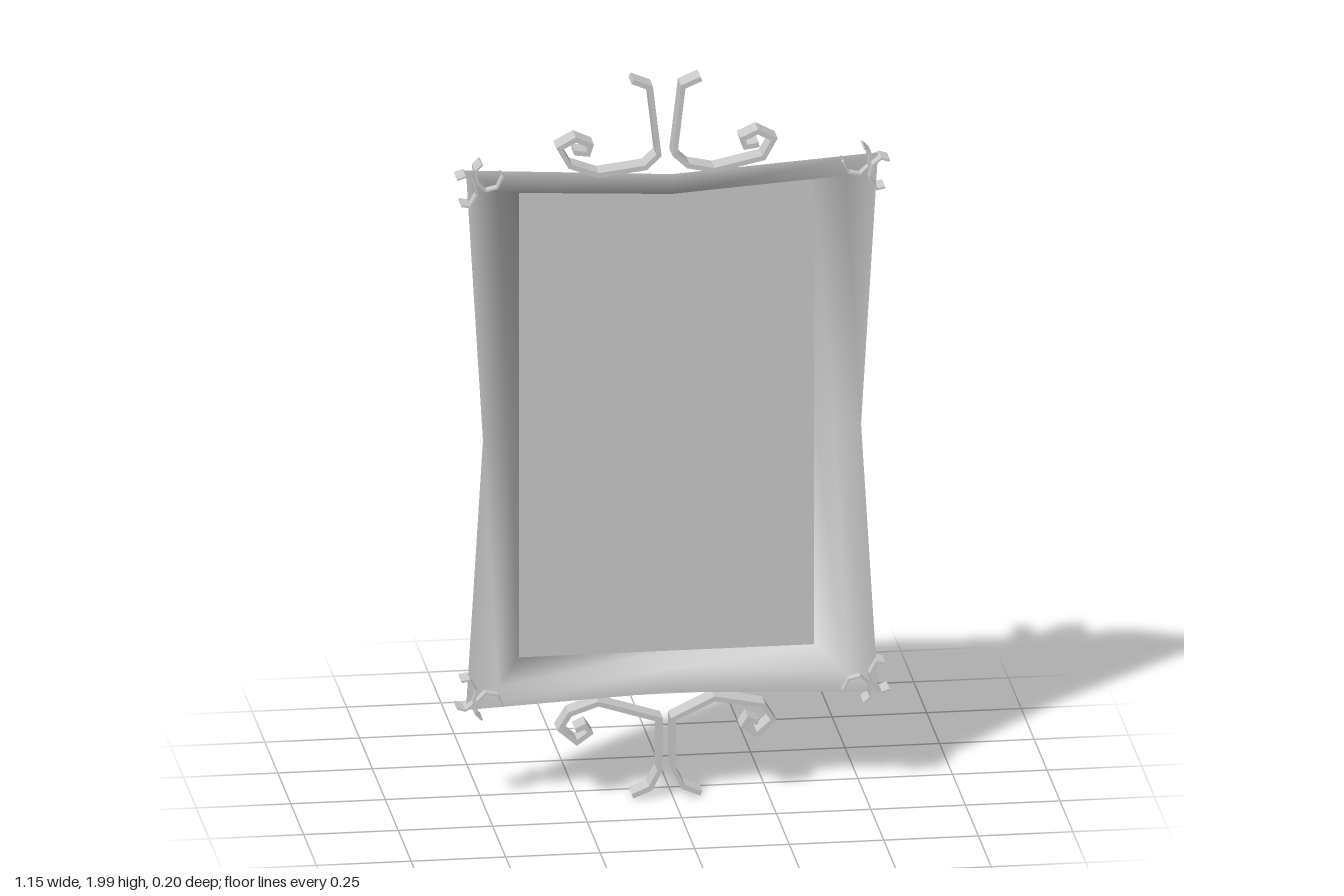
import * as THREE from 'three';

const grey = new THREE.MeshStandardMaterial({ color: 0xcccccc, side: THREE.DoubleSide });
const greyFlat = new THREE.MeshStandardMaterial({ color: 0xcccccc, side: THREE.DoubleSide, flatShading: true });

// Eight-point outline, counter-clockwise from the lower right corner
function ring(hx, waist, top, topMid, bottom, bottomMid, z) {
  return [
    [hx, bottom], [waist, 1.01], [hx, top], [0, topMid],
    [-hx, top], [-waist, 1.01], [-hx, bottom], [0, bottomMid],
  ].map(([x, y]) => [x, y, z]);
}

// Surface joining successive outlines
function loft(name, rings, material) {
  const n = rings[0].length, index = [];
  for (let r = 0; r < rings.length - 1; r++) {
    for (let i = 0; i < n; i++) {
      const j = (i + 1) % n, a = r * n, b = a + n;
      index.push(a + i, a + j, b + j, a + i, b + j, b + i);
    }
  }
  const geo = new THREE.BufferGeometry();
  geo.setAttribute('position', new THREE.Float32BufferAttribute(rings.flat(2), 3));
  geo.setIndex(index);
  geo.computeVertexNormals();
  const mesh = new THREE.Mesh(geo, material);
  mesh.name = name;
  return mesh;
}

// Bent metal strip: a mitred polyline thickened and extruded in z
function strip(name, pts, thickness, z0, z1) {
  const p = pts.map(([x, y]) => new THREE.Vector2(x, y));
  const sides = [[], []];
  p.forEach((c, i) => {
    const d0 = c.clone().sub(p[Math.max(i - 1, 0)]).normalize();
    const d1 = p[Math.min(i + 1, p.length - 1)].clone().sub(c).normalize();
    const t = d0.clone().add(d1).normalize();
    const ref = i === 0 ? d1 : d0;
    const w = thickness / 2 / Math.max(0.6, t.dot(ref));
    sides[0].push(new THREE.Vector2(c.x - t.y * w, c.y + t.x * w));
    sides[1].unshift(new THREE.Vector2(c.x + t.y * w, c.y - t.x * w));
  });
  const geo = new THREE.ExtrudeGeometry(new THREE.Shape([...sides[0], ...sides[1]]),
    { depth: z1 - z0, bevelEnabled: false });
  geo.translate(0, 0, z0);
  const mesh = new THREE.Mesh(geo, greyFlat);
  mesh.name = name;
  return mesh;
}

export function createModel() {
  const model = new THREE.Group();
  model.name = 'framedPanel';

  // Frame: tapered outer shell open at the back, flat rim and recess wall
  const back = ring(0.39, 0.355, 1.66, 1.625, 0.37, 0.4, -0.11);
  const front = ring(0.545, 0.5, 1.76, 1.725, 0.265, 0.29, 0.06);
  const inner = ring(0.46, 0.43, 1.7, 1.67, 0.325, 0.355, 0.06);
  const floor = ring(0.39, 0.39, 1.655, 1.655, 0.368, 0.368, -0.045);
  model.add(loft('outerShell', [back, front], greyFlat));
  model.add(loft('rimAndRecess', [front, inner, floor], grey));

  // Flat panel at the bottom of the recess
  const panel = new THREE.Mesh(new THREE.PlaneGeometry(0.78, 1.287), grey);
  panel.position.set(0, 1.0115, -0.045);
  panel.name = 'panel';
  model.add(panel);

  // Scrolls above and below, each a mirrored pair
  const topStem = [[0.075, 1.992], [0.027, 1.972], [0.005, 1.785], [0.04, 1.752]];
  const topCurl = [[0.24, 1.765], [0.268, 1.815], [0.225, 1.838], [0.185, 1.82], [0.192, 1.797], [0.228, 1.802]];
  const bottomStem = [[0.075, 0.012], [0.027, 0.032], [0.003, 0.08], [0.001, 0.22]];
  const bottomCurl = [[0.24, 0.247], [0.266, 0.205], [0.222, 0.167], [0.187, 0.192], [0.2, 0.212], [0.225, 0.2]];
  for (const s of [1, -1]) {
    // the pair meets slightly off centre, and the elbows differ a little
    const place = ([x, y]) => [s > 0 ? x : -0.032 - x, y];
    const elbow = s > 0 ? 0.11 : 0.165;
    const side = s > 0 ? 'Left' : 'Right';
    model.add(strip('topScroll' + side, [...topStem, [elbow, 1.737], ...topCurl].map(place), 0.013, 0.02, 0.08));
    model.add(strip('bottomScroll' + side, [...bottomStem, [elbow, 0.272], ...bottomCurl].map(place), 0.013, 0.02, 0.08));
  }

  // Small curled clips at the four corners
  const clips = [
    [[0.45, 1.745], [0.465, 1.715], [0.495, 1.708], [0.518, 1.73], [0.522, 1.765], [0.505, 1.782]],
    [[0.572, 1.745], [0.55, 1.752], [0.528, 1.735], [0.52, 1.7], [0.538, 1.668], [0.56, 1.672]],
  ];
  for (const sx of [1, -1]) {
    for (const top of [true, false]) {
      const corner = new THREE.Group();
      corner.name = (top ? 'top' : 'bottom') + (sx > 0 ? 'Left' : 'Right') + 'CornerClip';
      clips.forEach((pts, i) => corner.add(strip('clipCurl',
        pts.map(([x, y]) => [sx * x, top ? y : 2.025 - y]), 0.005, 0.025 + i * 0.005, 0.085 + i * 0.005)));
      model.add(corner);
    }
  }
  return model;
}
